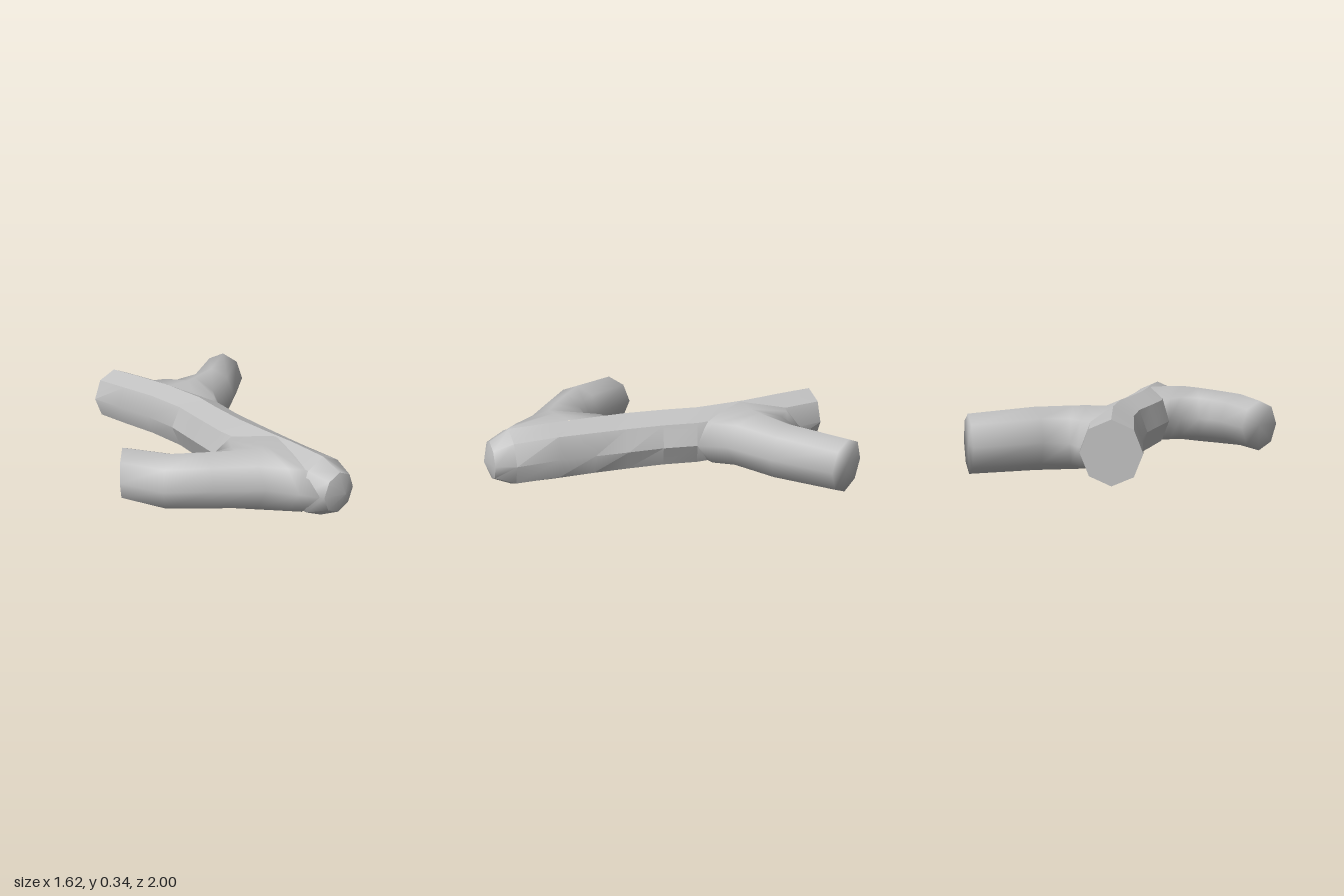
import * as THREE from 'three';
import { toCreasedNormals } from 'three/addons/utils/BufferGeometryUtils.js';

const SIDES = 8;
const MID = 0.175; // height of the centre line

// Loft of octagonal rings. Each ring: [leftX, leftZ, rightX, rightZ, halfHeight]
function loft(rings, { startCap = false, tip = null } = {}) {
  const pos = [], index = [];
  for (const [lx, lz, rx, rz, h] of rings) {
    for (let j = 0; j < SIDES; j++) {
      const a = (j / SIDES) * Math.PI * 2;
      const c = Math.cos(a) / 2;
      pos.push((lx + rx) / 2 + c * (rx - lx), MID + Math.sin(a) * h, (lz + rz) / 2 + c * (rz - lz));
    }
  }
  for (let i = 0; i < rings.length - 1; i++) {
    for (let j = 0; j < SIDES; j++) {
      const k = (j + 1) % SIDES;
      const a = i * SIDES + j, b = i * SIDES + k;
      index.push(a, b, a + SIDES, b, b + SIDES, a + SIDES);
    }
  }
  // Fan closing one ring, optionally drawn out to a tip
  const cap = (i, flip, point) => {
    const [lx, lz, rx, rz] = rings[i];
    const [x, z] = point || [(lx + rx) / 2, (lz + rz) / 2];
    const c = pos.length / 3;
    pos.push(x, MID, z);
    for (let j = 0; j < SIDES; j++) {
      const a = i * SIDES + j, b = i * SIDES + ((j + 1) % SIDES);
      if (flip) index.push(c, b, a); else index.push(c, a, b);
    }
  };
  cap(rings.length - 1, false, tip);
  if (startCap) cap(0, true, null);
  const g = new THREE.BufferGeometry();
  g.setAttribute('position', new THREE.Float32BufferAttribute(pos, 3));
  g.setIndex(index);
  g.computeVertexNormals();
  return g;
}

export function createModel() {
  const group = new THREE.Group();
  group.name = 'forkedStick';
  const grey = new THREE.MeshStandardMaterial({ color: 0xc0c0c0 });
  grey.name = 'plain grey';

  const add = (name, geometry) => {
    const mesh = new THREE.Mesh(geometry, grey);
    mesh.name = name;
    group.add(mesh);
  };

  // Main stem, from the cut back end to the blunt front tip
  const stem = loft([
    [-0.165, -1, 0.145, -1, 0.163],
    [-0.14, -0.78, 0.17, -0.8, 0.168],
    [-0.11, -0.55, 0.2, -0.52, 0.17],
    [-0.11, -0.3, 0.2, -0.17, 0.17],
    [-0.145, -0.1, 0.16, 0.02, 0.17],
    [-0.19, 0.16, 0.14, 0.22, 0.17],
    [-0.19, 0.4, 0.12, 0.41, 0.17],
    [-0.18, 0.62, 0.1, 0.6, 0.17],
    [-0.21, 0.85, 0.1, 0.85, 0.165],
    [-0.155, 0.96, 0.06, 0.96, 0.11],
  ], { startCap: true, tip: [-0.04, 1] });
  add('stem', toCreasedNormals(stem, 0.74));

  // Curved side branch, flaring into the stem
  add('rightBranch', loft([
    [-0.05, 0.1, -0.05, 0.9, 0.168],
    [-0.19, 0.16, -0.17, 0.94, 0.168],
    [-0.25, 0.28, -0.22, 0.85, 0.168],
    [-0.36, 0.29, -0.31, 0.7, 0.166],
    [-0.42, 0.25, -0.52, 0.53, 0.16],
    [-0.49, 0.18, -0.72, 0.37, 0.153],
    [-0.62, -0.07, -0.815, 0.13, 0.143],
  ]));

  // Straight side branch near the back
  add('leftBranch', loft([
    [0.04, -0.1, 0.04, -0.92, 0.168],
    [0.2, -0.17, 0.18, -0.84, 0.17],
    [0.28, -0.31, 0.24, -0.74, 0.17],
    [0.53, -0.46, 0.38, -0.72, 0.168],
    [0.81, -0.68, 0.69, -0.93, 0.155],
  ]));

  return group;
}
